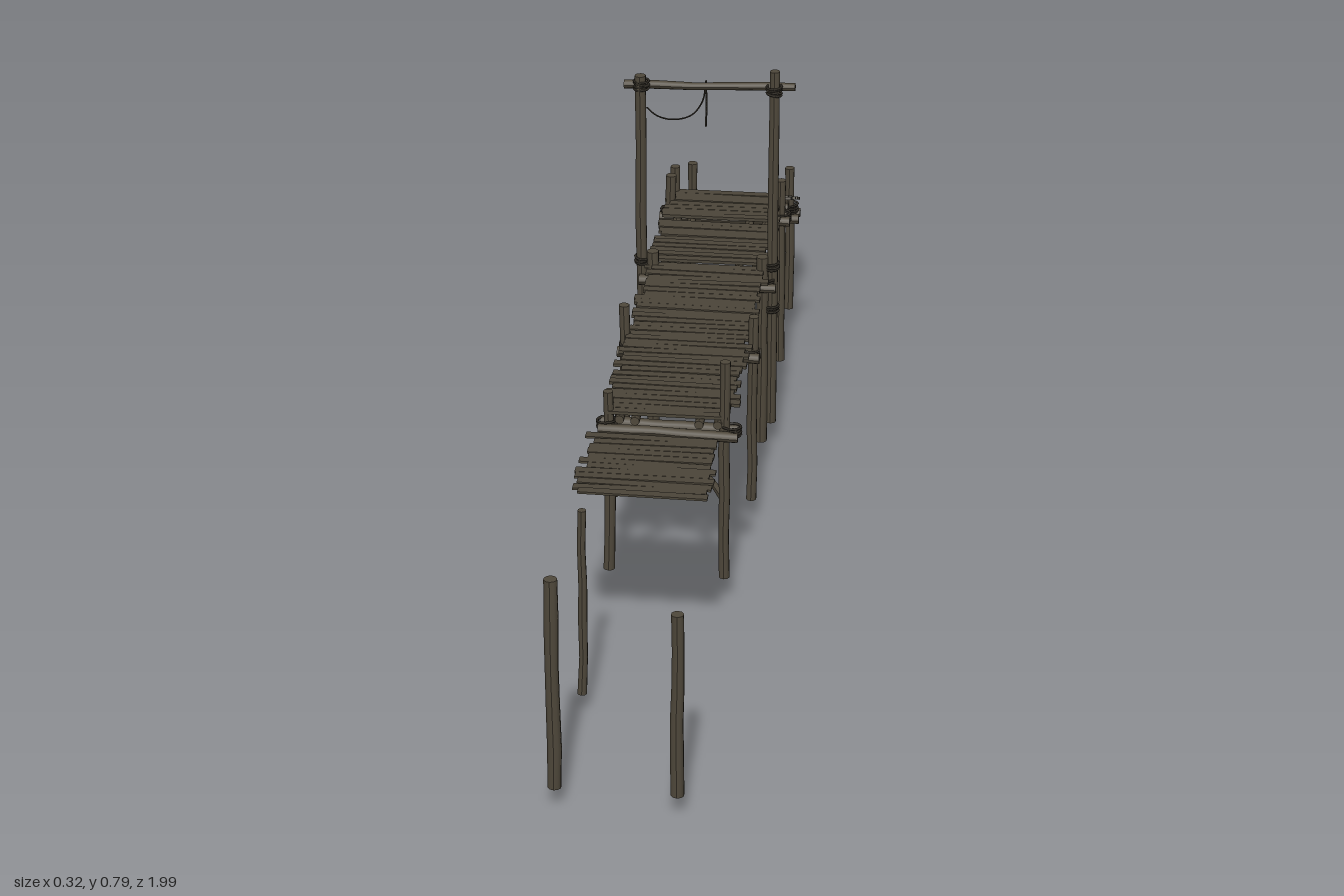
import * as THREE from 'three';

export function createModel() {
  const model = new THREE.Group();
  const wood = new THREE.MeshStandardMaterial({ color: 0x4f483b });
  const plankWood = new THREE.MeshStandardMaterial({ color: 0x4b4539 });
  const ropeFibre = new THREE.MeshStandardMaterial({ color: 0x2f2b24 });
  wood.name = 'weathered wood';
  plankWood.name = 'plank wood';
  ropeFibre.name = 'dark rope';

  let seed = 11;
  const rand = () => (seed = (seed * 16807) % 2147483647) / 2147483647;
  const jitter = (a) => (rand() - 0.5) * 2 * a;
  const V = (x, y, z) => new THREE.Vector3(x, y, z);
  const up = V(0, 1, 0);

  function add(name, geometry, material) {
    const mesh = new THREE.Mesh(geometry, material);
    mesh.name = name;
    model.add(mesh);
    return mesh;
  }

  // Slightly crooked log between two points
  function log(name, a, b, r, wobble = 0.0015) {
    const length = a.distanceTo(b), rows = 5;
    const g = new THREE.CylinderGeometry(r * 0.95, r, length, 10, rows);
    const bends = Array.from({ length: rows + 1 }, () => [jitter(wobble), jitter(wobble), 1 + jitter(0.07)]);
    const p = g.attributes.position;
    for (let i = 0; i < p.count; i++) {
      const row = Math.round((p.getY(i) / length + 0.5) * rows);
      const [dx, dz, s] = bends[row];
      p.setXYZ(i, p.getX(i) * s + dx, p.getY(i), p.getZ(i) * s + dz);
    }
    g.computeVertexNormals();
    const mesh = add(name, g, wood);
    mesh.position.copy(a).lerp(b, 0.5);
    mesh.quaternion.setFromUnitVectors(up, b.clone().sub(a).normalize());
  }
  const post = (x, z, y0, y1, r) => log('post', V(x, y0, z), V(x + jitter(0.001), y1, z), r);

  // Rope wound a few times round a post
  function lashing(x, y, z, r, turns = 3) {
    for (let i = 0; i < turns; i++) {
      const ring = add('lashing', new THREE.TorusGeometry(r, 0.0025, 5, 12), ropeFibre);
      ring.position.set(x, y + (i - (turns - 1) / 2) * 0.005, z);
      ring.rotation.set(Math.PI / 2 + jitter(0.15), jitter(0.15), 0);
    }
  }

  function rope(name, points, r = 0.0015) {
    add(name, new THREE.TubeGeometry(new THREE.CatmullRomCurve3(points), 28, r, 5), ropeFibre);
  }

  // Free-standing posts: x, z, bottom, top, radius
  [[-0.105, 0.985, 0.04, 0.435, 0.0125], [0.1, 0.985, 0.04, 0.385, 0.0115],
    [-0.1, 0.685, 0.04, 0.4, 0.008]].forEach((a) => post(...a));

  // Posts carrying the walkway
  [[-0.108, 0.28, 0.06, 0.42, 0.01], [0.1, 0.28, 0.055, 0.49, 0.01],
    [-0.12, -0.03, 0.06, 0.44, 0.01], [0.118, -0.03, 0.05, 0.43, 0.01],
    [-0.106, -0.335, 0.03, 0.41, 0.012], [0.105, -0.335, 0.015, 0.41, 0.012],
    [-0.11, -0.642, 0.04, 0.435, 0.011], [0.11, -0.642, 0.04, 0.435, 0.011],
    [-0.105, -0.685, 0.05, 0.435, 0.01], [0.105, -0.685, 0.05, 0.4, 0.01],
    [-0.105, -0.967, 0.03, 0.32, 0.01], [0.1, -0.967, 0, 0.32, 0.01]].forEach((a) => post(...a));

  // Tall gateway with crossbar
  post(-0.128, -0.34, 0.06, 0.77, 0.0105);
  post(0.123, -0.34, 0.055, 0.79, 0.0105);
  log('crossbar', V(-0.162, 0.745, -0.355), V(0.162, 0.753, -0.355), 0.008, 0.002);
  for (const x of [-0.128, 0.123]) {
    lashing(x, 0.75, -0.345, 0.014, 4);
    lashing(x, 0.3, -0.34, 0.013);
    lashing(x, 0.39, -0.34, 0.013);
  }
  rope('gateway rope', [V(-0.12, 0.7, -0.355), V(-0.1, 0.681, -0.36), V(-0.07, 0.674, -0.362),
    V(-0.035, 0.685, -0.362), V(-0.014, 0.715, -0.362), V(-0.008, 0.752, -0.363)]);
  rope('hanging rope end', [V(-0.008, 0.758, -0.36), V(-0.007, 0.71, -0.364), V(-0.008, 0.662, -0.364)], 0.002);

  // Cross beams under the deck, lashed to the posts
  for (const [z, w] of [[0.28, 0.125], [-0.03, 0.132], [-0.34, 0.132], [-0.645, 0.13]]) {
    for (const dz of [-0.016, 0.016]) {
      log('crossBeam', V(-w, 0.351 + jitter(0.003), z + dz), V(w, 0.351 + jitter(0.003), z + dz), 0.01);
    }
    for (const s of [-1, 1]) lashing(s * 0.112, 0.355, z, 0.017, 4);
  }
  log('crossBeam', V(-0.12, 0.35, -0.7), V(0.12, 0.35, -0.7), 0.009);
  for (const z of [-0.95, -0.984]) log('rampBeam', V(-0.12, 0.212, z), V(0.12, 0.212, z), 0.01);
  for (const x of [-0.105, 0.1]) lashing(x, 0.23, -0.967, 0.016, 4);

  // Slanted braces below two bents
  for (const z of [0.268, -0.655]) {
    for (const s of [-1, 1]) log('brace', V(s * 0.1, 0.205, z), V(s * 0.006, 0.345, z), 0.007);
  }

  // Long bearers below the planks
  for (const x of [-0.088, -0.06, 0.055, 0.088]) {
    log('bearer', V(x, 0.37, 0.295), V(x, 0.37, -0.69), 0.0085);
  }
  for (const x of [-0.09, 0.09]) log('rampBearer', V(x, 0.366, -0.675), V(x, 0.226, -0.992), 0.009);

  // Rows of uneven planks from one z to another, with matching heights
  function planks(name, z0, z1, y0, y1, left, right, thickness) {
    const count = Math.round(Math.abs(z1 - z0) / 0.0185);
    const step = Math.hypot(z1 - z0, y1 - y0) / count;
    const slope = Math.atan2(y1 - y0, z0 - z1);
    for (let i = 0; i < count; i++) {
      const t = (i + 0.5) / count;
      const a = left + jitter(0.01), b = right + jitter(0.01);
      const g = new THREE.BoxGeometry(b - a, thickness, step * (0.88 + rand() * 0.1));
      const mesh = add(name, g, plankWood);
      mesh.position.set((a + b) / 2, y0 + (y1 - y0) * t + jitter(0.0012), z0 + (z1 - z0) * t);
      mesh.rotation.set(slope, jitter(0.018), jitter(0.006));
    }
  }
  planks('loosePlank', 0.6, 0.375, 0.384, 0.384, -0.125, 0.105, 0.004);
  planks('deckPlank', 0.29, -0.345, 0.381, 0.381, -0.115, 0.112, 0.006);
  planks('deckPlank', -0.36, -0.54, 0.381, 0.381, -0.115, 0.112, 0.006);
  planks('deckPlank', -0.562, -0.69, 0.381, 0.381, -0.118, 0.108, 0.006);
  planks('rampPlank', -0.692, -0.996, 0.374, 0.24, -0.118, 0.11, 0.006);

  // Slack rope along the side
  rope('side rope', [V(-0.115, 0.365, 0.275), V(-0.12, 0.315, 0.215), V(-0.122, 0.275, 0.14),
    V(-0.122, 0.27, 0.09), V(-0.122, 0.295, 0.025), V(-0.122, 0.36, -0.03)], 0.002);

  return model;
}
